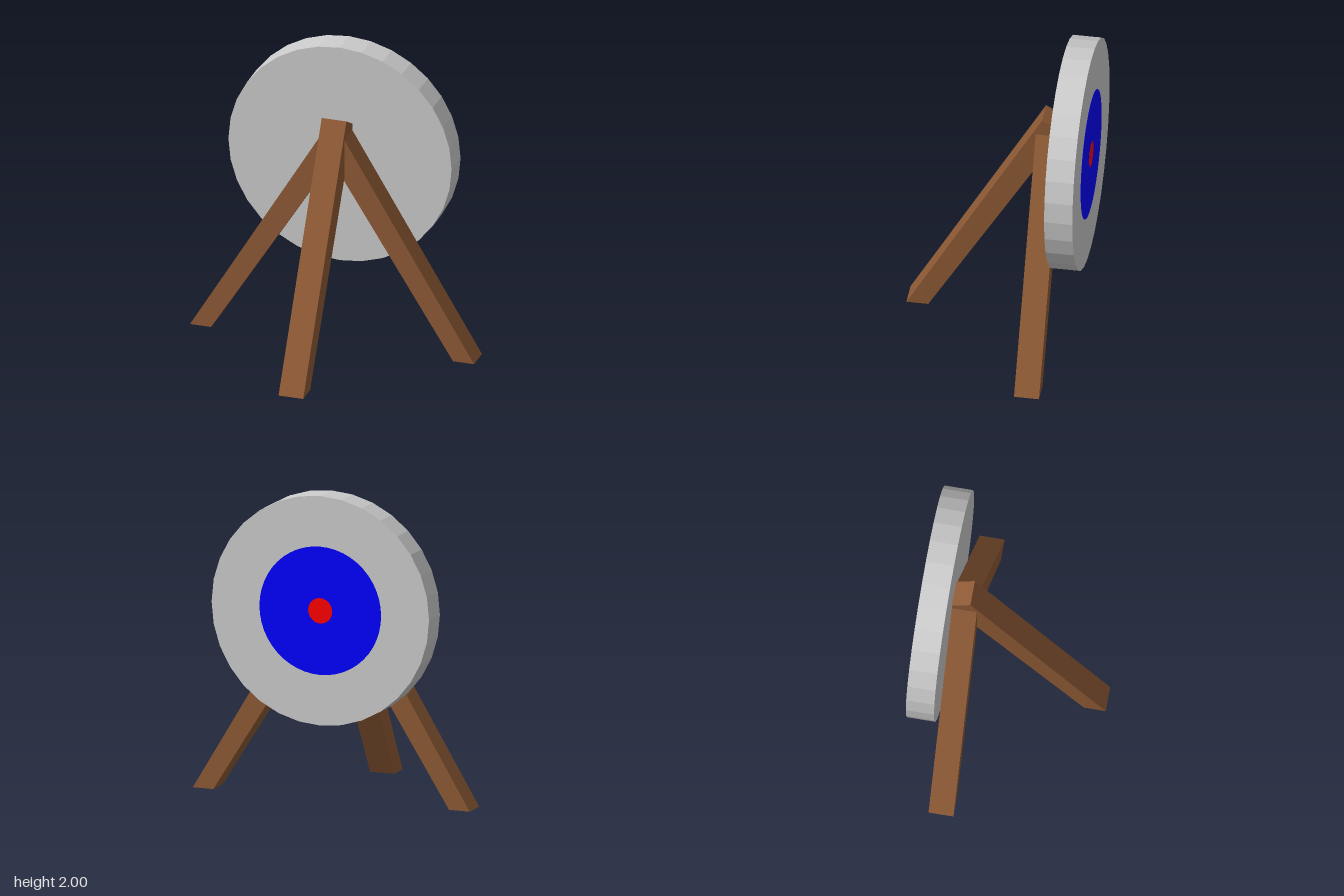
import * as THREE from 'three';

const WOOD = 0x8e5a35;

function makeMesh(name, geometry, color) {
  const material = new THREE.MeshStandardMaterial({ color, flatShading: true });
  const mesh = new THREE.Mesh(geometry, material);
  mesh.name = name;
  return mesh;
}

// Square beam cut flat at the foot: outline extruded evenly about z = 0
function beam(points, width) {
  const shape = new THREE.Shape(points.map(([x, y]) => new THREE.Vector2(x, y)));
  const geometry = new THREE.ExtrudeGeometry(shape, { depth: width, bevelEnabled: false });
  return geometry.translate(0, 0, -width / 2);
}

// Disc whose axis runs along z
function disc(radius, depth, sides) {
  return new THREE.CylinderGeometry(radius, radius, depth, sides).rotateX(Math.PI / 2);
}

export function createModel() {
  const group = new THREE.Group();
  group.name = 'archeryTarget';

  // Front leg leaning back against the target
  const frontLeg = beam([[0.585, 0], [-0.283, 1.55], [-0.42, 1.472], [0.445, 0]], 0.164);
  frontLeg.rotateY(-Math.PI / 2);
  group.add(makeMesh('frontLeg', frontLeg, WOOD));

  // Two splayed side legs, mirrored
  for (const [name, s] of [['leftLeg', 1], ['rightLeg', -1]]) {
    const outline = [[0.945, 0], [0.08, 1.44], [-0.05, 1.36], [0.805, 0]];
    const leg = makeMesh(name, beam(outline.map(([x, y]) => [x * s, y]), 0.16), WOOD);
    leg.position.z = -0.322;
    group.add(leg);
  }

  // Round target board with coloured rings on its rear face
  const board = makeMesh('targetBoard', disc(0.7425, 0.181, 32), 0xcccccc);
  board.position.set(0, 1.2575, -0.4925);
  group.add(board);

  const ring = makeMesh('blueRing', disc(0.415, 0.004, 48), 0x0000ff);
  ring.position.set(0, 1.2575, -0.5825);
  group.add(ring);

  const bullseye = makeMesh('bullseye', disc(0.082, 0.004, 32), 0xff0000);
  bullseye.position.set(0, 1.2575, -0.584);
  group.add(bullseye);

  return group;
}
